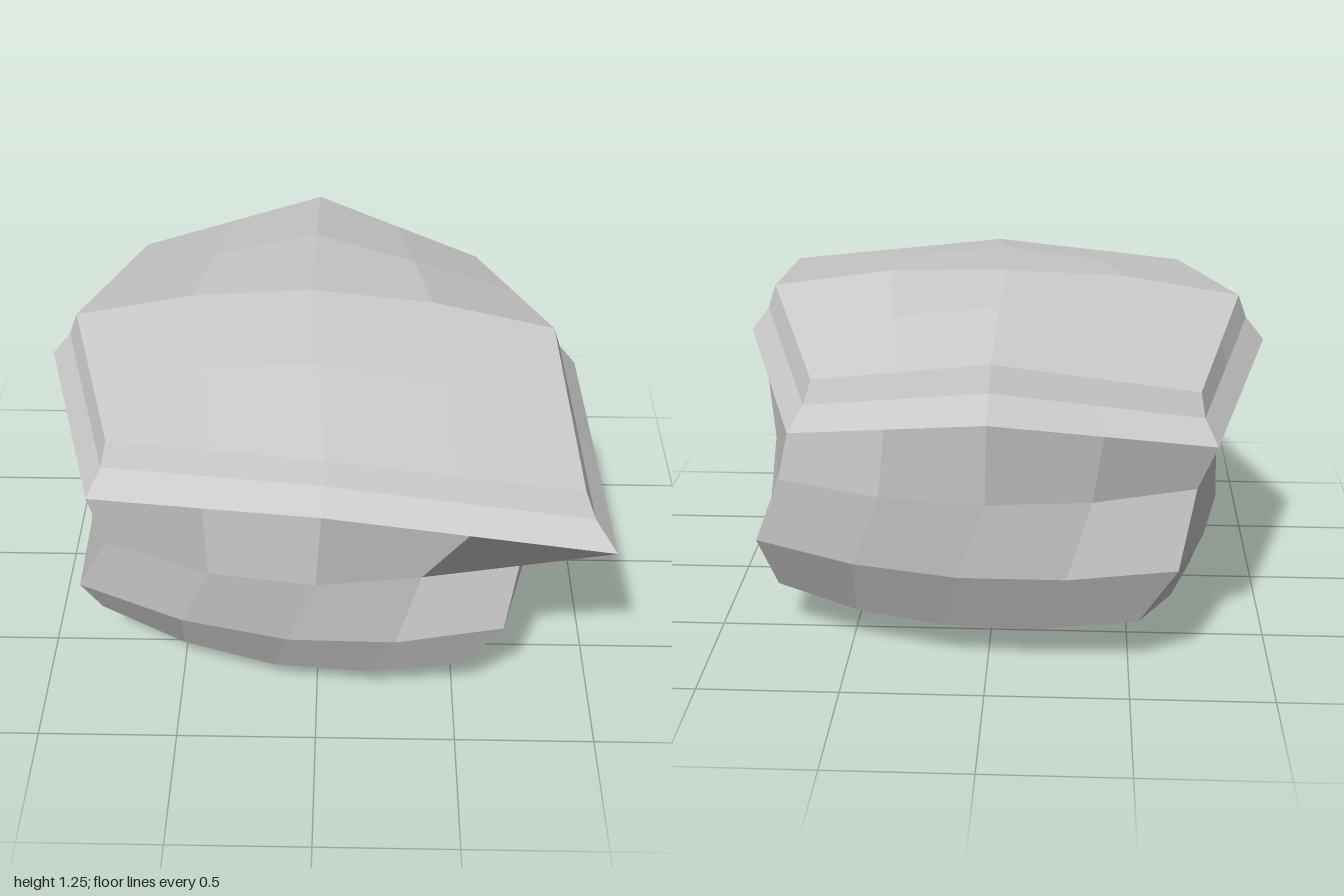
import * as THREE from 'three';

const N = 4; // facets per side of each four-sided ring
const LEVEL = 1.245; // height of the flattened crown
const V = (x, y, z) => new THREE.Vector3(x, y, z);

// Eight points (corner, middle, corner, ...) become a loop of 4 sides,
// each either curved or bent once at its middle
function makeLoop(points, curved) {
  const p = points.map((a) => V(...a));
  const loop = [];
  for (let s = 0; s < 8; s += 2) {
    const a = p[s], m = p[s + 1], b = p[(s + 2) % 8];
    const control = m.clone().multiplyScalar(2).addScaledVector(a, -0.5).addScaledVector(b, -0.5);
    const curve = new THREE.QuadraticBezierCurve3(a, control, b);
    for (let i = 0; i < N; i++) {
      const t = i / N;
      if (curved) loop.push(curve.getPoint(t));
      else loop.push(t < 0.5 ? a.clone().lerp(m, 2 * t) : m.clone().lerp(b, 2 * t - 1));
    }
  }
  return loop;
}

// Four-cornered facet with one shared normal
function quad(out, a, b, c, d) {
  const normal = c.clone().sub(a).cross(d.clone().sub(b)).normalize();
  for (const p of [a, b, c, a, c, d]) {
    out.points.push(p);
    out.normals.push(normal.x, normal.y, normal.z);
  }
}

// Wall between successive loops, bottom to top
function wall(loops) {
  const out = { points: [], normals: [] };
  for (let k = 0; k < loops.length - 1; k++) {
    const low = loops[k], up = loops[k + 1], n = low.length;
    for (let j = 0; j < n; j++) quad(out, low[j], low[(j + 1) % n], up[(j + 1) % n], up[j]);
  }
  return out;
}

// Domed patch filling a loop: blends the four sides and adds a bulge
function patch(loop, bulge, facesUp) {
  const at = (i) => loop[(i + 4 * N) % (4 * N)];
  const grid = [];
  for (let i = 0; i <= N; i++) {
    grid.push([]);
    for (let j = 0; j <= N; j++) {
      const u = i / N, v = j / N;
      const p = V(0, 0, 0)
        .addScaledVector(at(i), 1 - v).addScaledVector(at(3 * N - i), v)
        .addScaledVector(at(-j), 1 - u).addScaledVector(at(N + j), u)
        .addScaledVector(at(0), -(1 - u) * (1 - v)).addScaledVector(at(N), -u * (1 - v))
        .addScaledVector(at(2 * N), -u * v).addScaledVector(at(3 * N), -(1 - u) * v);
      p.y = Math.min(LEVEL, p.y + bulge * 16 * u * v * (1 - u) * (1 - v));
      grid[i].push(p);
    }
  }
  const out = { points: [], normals: [] };
  for (let i = 0; i < N; i++) {
    for (let j = 0; j < N; j++) {
      const c = [grid[i][j], grid[i + 1][j], grid[i + 1][j + 1], grid[i][j + 1]];
      quad(out, ...(facesUp ? c : c.reverse()));
    }
  }
  return out;
}

export function createModel() {
  const group = new THREE.Group();
  group.name = 'boulder';
  const material = new THREE.MeshStandardMaterial({ color: 0xcccccc });

  // Rings start at the front +x corner and run to the back +x corner and round
  const base = makeLoop([
    [0.53, 0.19, 0.81], [0.735, 0.13, 0.16], [0.78, 0.18, -0.53], [0.16, 0.13, -0.74],
    [-0.53, 0.18, -0.78], [-0.75, 0.13, -0.16], [-0.81, 0.19, 0.53], [-0.16, 0.13, 0.765],
  ], true);
  const belly = makeLoop([
    [0.66, 0.41, 0.86], [0.82, 0.38, 0.1], [0.83, 0.41, -0.66], [0.1, 0.38, -0.875],
    [-0.66, 0.41, -0.85], [-0.84, 0.38, -0.1], [-0.86, 0.41, 0.66], [-0.1, 0.37, 0.89],
  ], true);
  const waist = makeLoop([
    [0.72, 0.67, 0.74], [0.82, 0.69, 0.03], [0.73, 0.67, -0.72], [0, 0.67, -0.92],
    [-0.72, 0.67, -0.74], [-0.84, 0.67, 0], [-0.74, 0.67, 0.73], [0, 0.67, 0.94],
  ], true);
  const rimLow = makeLoop([
    [1, 0.86, 0.98], [0.94, 0.98, 0.03], [0.69, 0.845, -0.73], [-0.01, 0.98, -0.99],
    [-0.78, 0.85, -0.81], [-1, 0.98, 0], [-0.78, 0.92, 0.8], [0.02, 0.98, 0.96],
  ], false);
  const rimTop = makeLoop([
    [0.89, 1.04, 0.88], [0.85, 1.15, 0.06], [0.61, 1.02, -0.67], [-0.02, 1.16, -0.9],
    [-0.72, 1.02, -0.74], [-0.9, 1.15, 0], [-0.71, 1.1, 0.71], [0.03, 1.14, 0.86],
  ], false);
  // Slightly pinched line halfway up the rim
  const rimMid = rimLow.map((p, i) => p.clone().lerp(rimTop[i], 0.5).multiply(V(0.98, 1, 0.98)));

  const parts = {
    underside: patch(base, -0.08, false),
    body: wall([base, belly, waist]),
    overhang: wall([waist, rimLow]),
    rim: wall([rimLow, rimMid, rimTop]),
    top: patch(rimTop, 0.03, true),
  };
  for (const [name, { points, normals }] of Object.entries(parts)) {
    const geometry = new THREE.BufferGeometry().setFromPoints(points);
    geometry.setAttribute('normal', new THREE.Float32BufferAttribute(normals, 3));
    const mesh = new THREE.Mesh(geometry, material);
    mesh.name = name;
    group.add(mesh);
  }
  return group;
}
